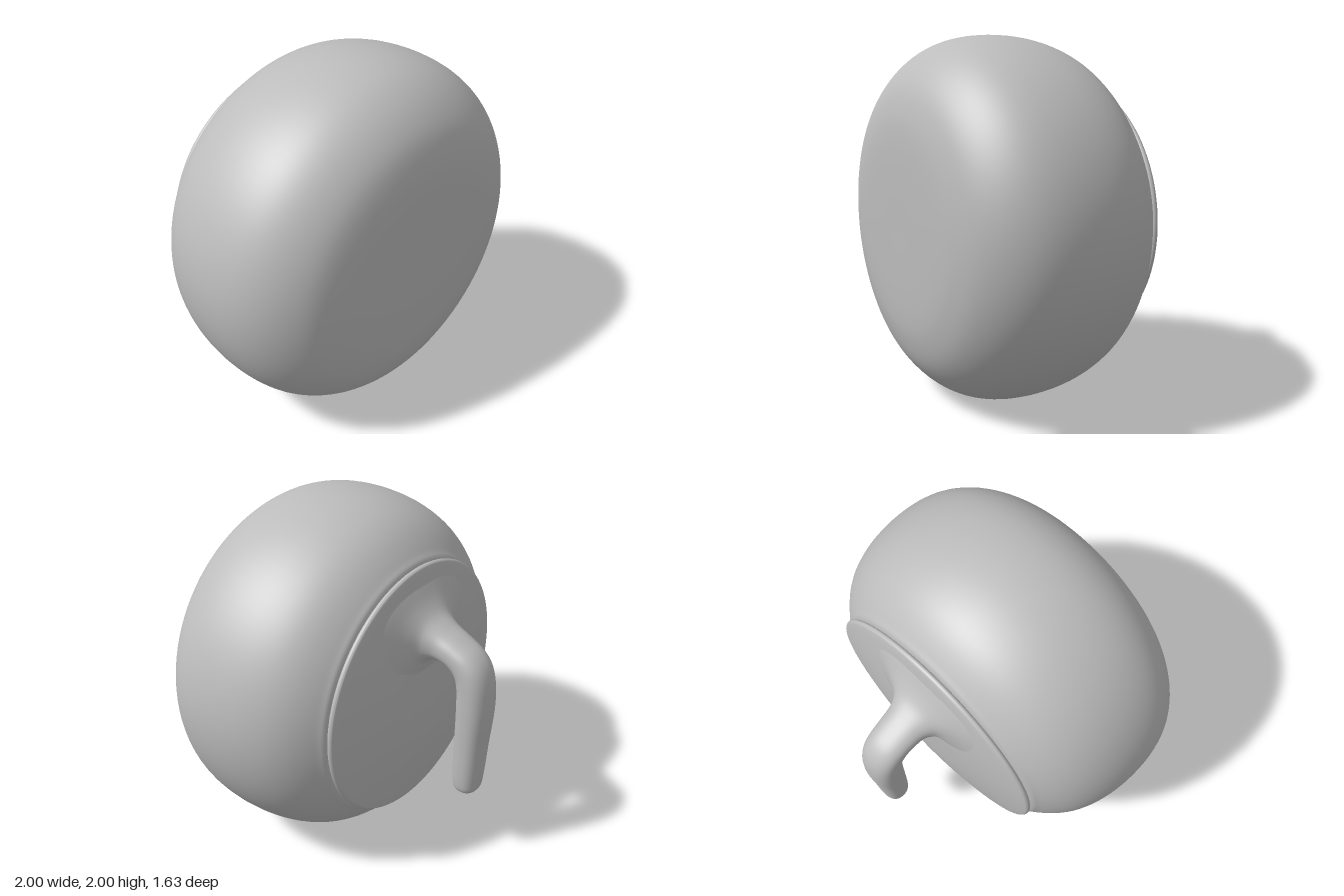
import * as THREE from 'three';

const stone = new THREE.MeshStandardMaterial({ color: 0xbcbcbc });
stone.name = 'grey stone';

// Smooth solid of revolution about the z axis, from [radius, z] points, back to front
function turned(name, points, samples) {
  const path = new THREE.SplineCurve(points.map(([r, z]) => new THREE.Vector2(r, z)));
  const profile = path.getPoints(samples);
  profile.forEach((p) => { p.x = Math.max(p.x, 0); });
  const geometry = new THREE.LatheGeometry(profile, 96).rotateX(Math.PI / 2);
  const mesh = new THREE.Mesh(geometry, stone);
  mesh.name = name;
  mesh.position.y = 1;
  return mesh;
}

// Handle sections: outer edge (y, z), inner edge (y, z), half width in x
const SECTIONS = [
  [1.66, -0.35, 1.11, -0.40, 0.38],
  [1.56, -0.405, 1.19, -0.425, 0.24],
  [1.50, -0.455, 1.245, -0.45, 0.16],
  [1.455, -0.525, 1.27, -0.49, 0.125],
  [1.41, -0.62, 1.27, -0.54, 0.115],
  [1.36, -0.71, 1.25, -0.58, 0.112],
  [1.30, -0.765, 1.22, -0.607, 0.112],
  [1.21, -0.80, 1.17, -0.622, 0.112],
  [1.05, -0.815, 1.06, -0.628, 0.11],
  [0.80, -0.80, 0.80, -0.628, 0.1],
  [0.56, -0.785, 0.56, -0.63, 0.09],
  [0.505, -0.777, 0.505, -0.637, 0.08],
  [0.48, -0.755, 0.48, -0.66, 0.055],
  [0.47, -0.708, 0.47, -0.704, 0.002],
];

// Loft of rounded sections, flaring into the cap at its root
function makeHandle() {
  const outer = new THREE.CatmullRomCurve3(SECTIONS.map((s) => new THREE.Vector3(0, s[0], s[1])));
  const inner = new THREE.CatmullRomCurve3(SECTIONS.map((s) => new THREE.Vector3(s[4], s[2], s[3])));
  const rows = 78, sides = 40, positions = [], indices = [];
  const round = (v) => Math.sign(v) * Math.abs(v) ** 0.85;
  for (let i = 0; i <= rows; i++) {
    const a = outer.getPoint(i / rows), b = inner.getPoint(i / rows);
    for (let j = 0; j < sides; j++) {
      const t = (j / sides) * Math.PI * 2;
      const k = (1 - round(Math.cos(t))) / 2;
      positions.push(b.x * round(Math.sin(t)), a.y + (b.y - a.y) * k, a.z + (b.z - a.z) * k);
      if (i === rows) continue;
      const p = i * sides + j, q = i * sides + ((j + 1) % sides);
      indices.push(p, p + sides, q, q, p + sides, q + sides);
    }
  }
  // Close the tip
  const tip = rows * sides;
  for (let j = 1; j < sides - 1; j++) indices.push(tip, tip + j + 1, tip + j);
  const geometry = new THREE.BufferGeometry();
  geometry.setAttribute('position', new THREE.Float32BufferAttribute(positions, 3));
  // Reverse the winding so the faces point outwards
  for (let i = 0; i < indices.length; i += 3) {
    [indices[i + 1], indices[i + 2]] = [indices[i + 2], indices[i + 1]];
  }
  geometry.setIndex(indices);
  geometry.computeVertexNormals();
  const mesh = new THREE.Mesh(geometry, stone);
  mesh.name = 'handle';
  return mesh;
}

export function createModel() {
  const group = new THREE.Group();
  group.name = 'curling stone';

  // Heavy rounded body, lying on its rim
  group.add(turned('body', [
    [0, -0.32], [0.4, -0.32], [0.69, -0.31], [0.77, -0.27], [0.87, -0.175],
    [0.94, -0.06], [0.985, 0.09], [1, 0.26], [0.985, 0.42], [0.94, 0.55],
    [0.86, 0.66], [0.75, 0.745], [0.62, 0.792], [0.48, 0.812], [0.25, 0.818], [0, 0.818],
  ], 90));

  // Shallow cap with a rolled rim
  group.add(turned('cap', [
    [0, -0.42], [0.15, -0.419], [0.3, -0.413], [0.5, -0.387], [0.65, -0.359], [0.715, -0.344],
    [0.73, -0.335], [0.733, -0.322], [0.722, -0.311], [0.69, -0.309], [0.6, -0.309],
  ], 70));

  group.add(makeHandle());
  return group;
}
